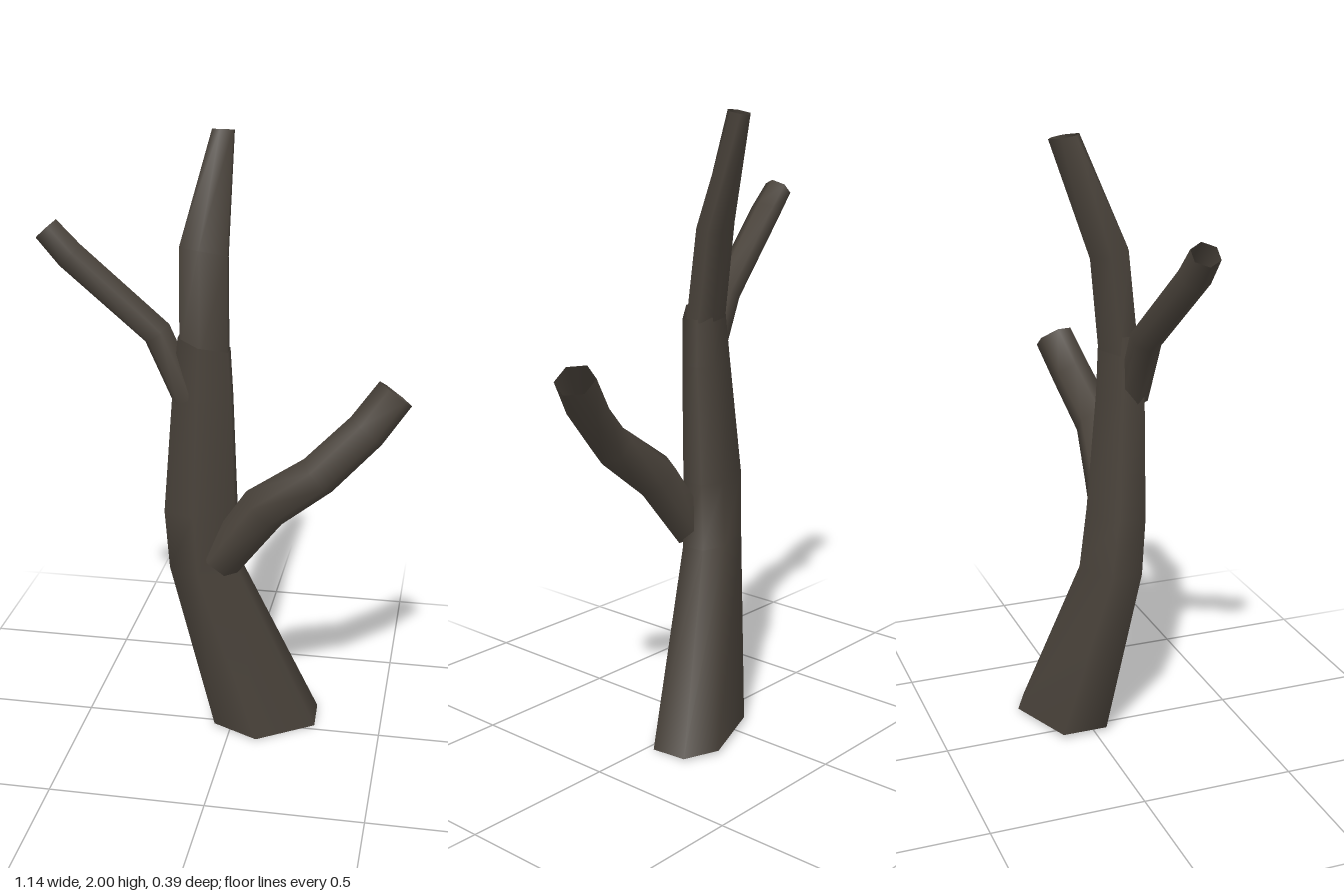
import * as THREE from 'three';

const SIDES = 6;
const bark = new THREE.MeshStandardMaterial({ color: 0x4a433b, side: THREE.DoubleSide });
bark.name = 'dark bark';

// Open smooth skin over a list of six-point rings
function loft(name, rings) {
  const index = [];
  for (let i = 0; i < rings.length - 1; i++) {
    for (let j = 0; j < SIDES; j++) {
      const k = (j + 1) % SIDES;
      const a = i * SIDES + j, b = i * SIDES + k;
      const c = a + SIDES, d = b + SIDES;
      index.push(a, c, b, b, c, d);
    }
  }
  const geometry = new THREE.BufferGeometry().setFromPoints(rings.flat());
  geometry.setIndex(index);
  geometry.computeVertexNormals();
  const mesh = new THREE.Mesh(geometry, bark);
  mesh.name = name;
  return mesh;
}

// Uneven hexagon of the trunk, as x and z offsets for half-widths of one
const OUTLINE = [[0.35, -1], [0.97, -0.65], [1, 0.17], [-0.06, 1], [-0.94, 0.6], [-1, -0.43]];

// Near-level ring; tiltX and tiltZ raise it along x and z
function levelRing([x, y, z, rx, rz, tiltX = 0, tiltZ = 0]) {
  return OUTLINE.map(([u, v]) =>
    new THREE.Vector3(x + u * rx, y + u * tiltX + v * tiltZ, z + v * rz));
}

// Rings set across a bending path of [x, y, z, radius]
function branchRings(path) {
  const points = path.map(([x, y, z]) => new THREE.Vector3(x, y, z));
  return path.map(([, , , r], i) => {
    const t = points[Math.min(i + 1, points.length - 1)].clone()
      .sub(points[Math.max(i - 1, 0)]).normalize();
    const u = new THREE.Vector3(0, 0, -1);
    u.addScaledVector(t, -u.dot(t)).normalize();
    const v = u.clone().cross(t);
    return Array.from({ length: SIDES }, (_, j) => {
      const angle = ((j + 0.5) / SIDES) * Math.PI * 2;
      return points[i].clone()
        .addScaledVector(u, Math.cos(angle) * r * 1.1)
        .addScaledVector(v, Math.sin(angle) * r * 1.04);
    });
  });
}

export function createModel() {
  const group = new THREE.Group();
  group.name = 'bareTree';

  // Leaning trunk, wide at the foot
  group.add(loft('trunk', [
    [0.107, 0.01, -0.05, 0.172, 0.152, -0.007, -0.006],
    [-0.08, 0.615, 0.05, 0.112, 0.1, -0.01],
    [-0.093, 0.82, 0.06, 0.113, 0.09],
    [-0.082, 1.2, 0.075, 0.092, 0.072],
    [-0.075, 1.375, 0.08, 0.077, 0.07, -0.025],
  ].map(levelRing)));

  // Upper trunk, bending back to a narrow tip
  group.add(loft('upperTrunk', [
    [-0.076, 1.34, 0.07, 0.074, 0.06],
    [-0.083, 1.645, 0.035, 0.073, 0.055, -0.01, 0.015],
    [-0.046, 1.992, -0.096, 0.031, 0.046, 0, 0.008],
  ].map(levelRing)));

  // Side branches
  group.add(loft('upperBranch', branchRings([
    [-0.125, 1.2, 0.095, 0.045],
    [-0.215, 1.405, 0.1, 0.046],
    [-0.47, 1.645, 0.14, 0.046],
    [-0.54, 1.722, 0.14, 0.042],
  ])));
  group.add(loft('lowerBranch', branchRings([
    [-0.025, 0.65, 0.085, 0.066],
    [0.12, 0.855, 0.11, 0.074],
    [0.29, 0.985, 0.13, 0.065],
    [0.43, 1.125, 0.09, 0.062],
    [0.513, 1.238, 0.055, 0.06],
  ])));

  return group;
}
